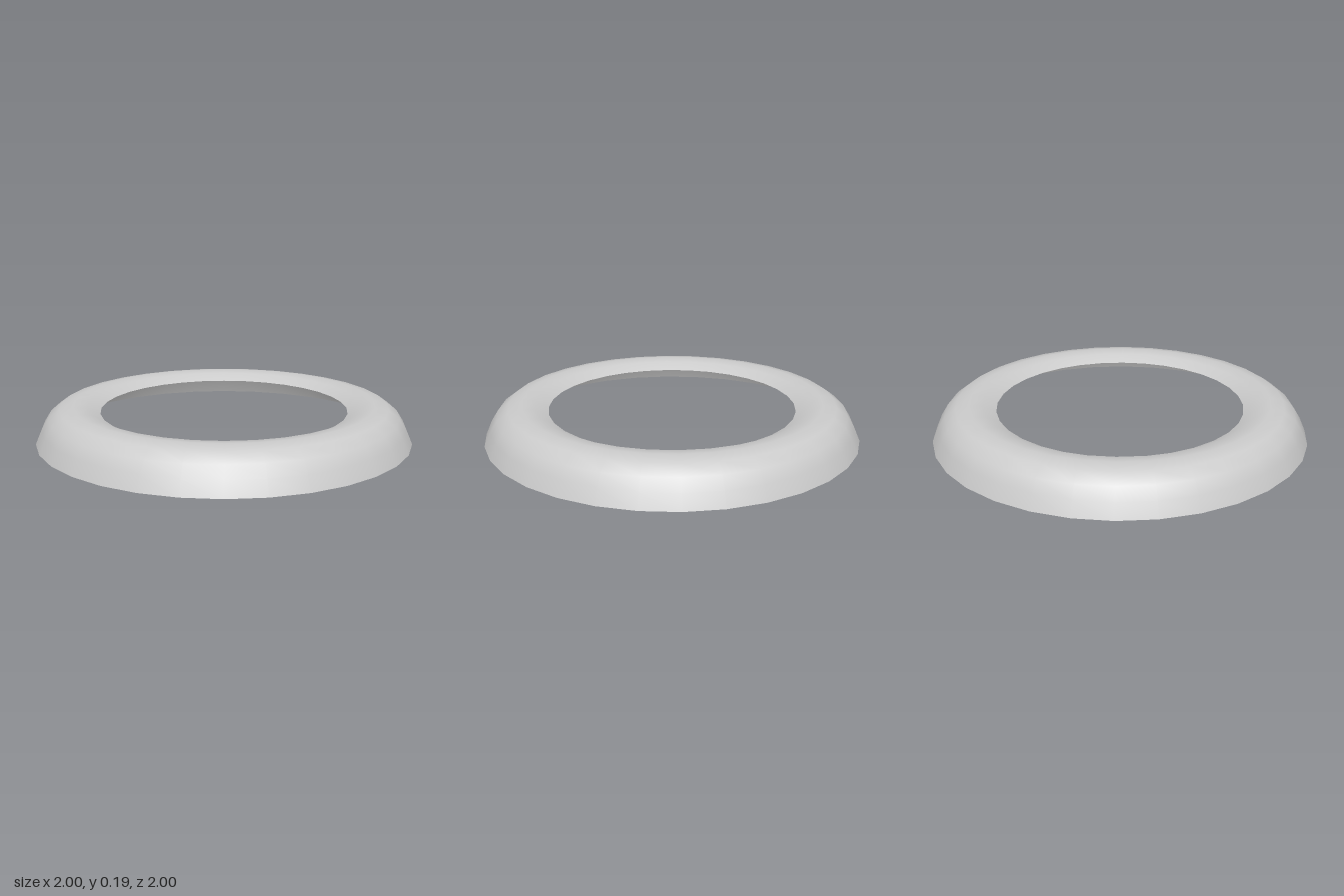
import * as THREE from 'three';

export function createModel() {
  const model = new THREE.Group();

  // Rounded outer wall rising over the crest and dipping to the inner rim
  const profile = [
    [1, 0], [0.967, 0.075], [0.93, 0.134], [0.872, 0.176],
    [0.8, 0.19], [0.728, 0.18], [0.66, 0.146],
  ].map(([r, y]) => new THREE.Vector2(r, y));

  // Thin ring shell, open underneath
  const ring = new THREE.Mesh(
    new THREE.LatheGeometry(profile, 32),
    new THREE.MeshStandardMaterial({ color: 0xcccccc, side: THREE.DoubleSide }),
  );
  ring.name = 'ringShell';
  model.add(ring);

  return model;
}
